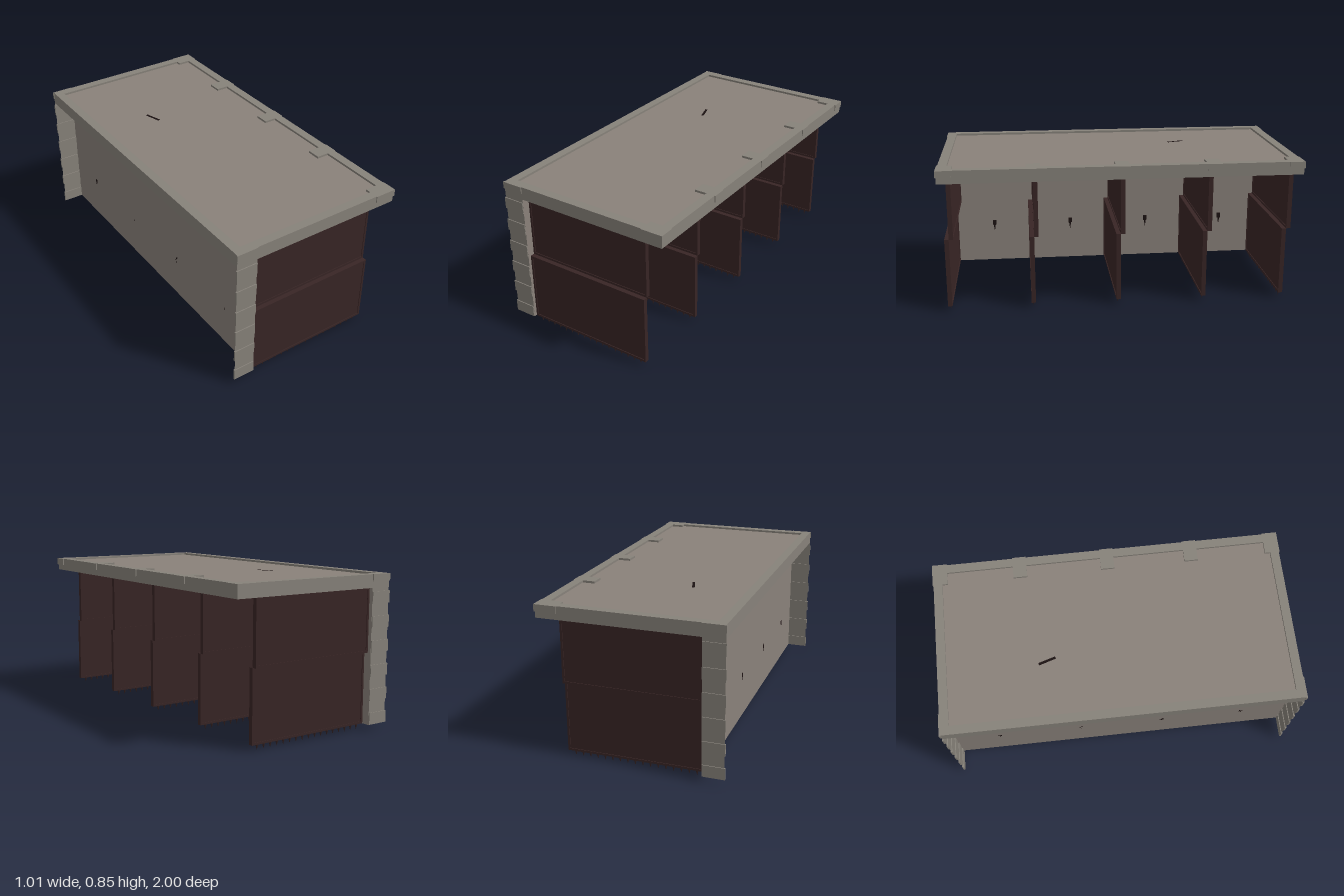
import * as THREE from 'three';

export function createModel() {
  const model = new THREE.Group();
  const mat = (name, color, side = THREE.FrontSide) => {
    const m = new THREE.MeshStandardMaterial({ color, side });
    m.name = name;
    return m;
  };
  const stone = mat('warm stone', 0x8a817a);
  const trim = mat('grey stone trim', 0x87827a);
  const wallMat = mat('wall stone', 0x8a817a, THREE.DoubleSide);
  const wingMat = mat('end stone', 0x87827a, THREE.DoubleSide);
  const wood = mat('dark wood', 0x382525);
  const black = mat('dark iron', 0x1c1212);

  const add = (parent, name, geo, material, x = 0, y = 0, z = 0) => {
    const mesh = new THREE.Mesh(geo, material);
    mesh.name = name;
    mesh.position.set(x, y, z);
    parent.add(mesh);
    return mesh;
  };
  const box = (w, h, d) => new THREE.BoxGeometry(w, h, d);

  // rectangular frame, extruded along z and centred
  const frame = (w, h, border, depth) => {
    const rect = (T, a, b) => {
      const s = new T();
      s.moveTo(-a, -b); s.lineTo(a, -b); s.lineTo(a, b); s.lineTo(-a, b); s.closePath();
      return s;
    };
    const shape = rect(THREE.Shape, w / 2, h / 2);
    shape.holes.push(rect(THREE.Path, w / 2 - border, h / 2 - border));
    return new THREE.ExtrudeGeometry(shape, { depth, bevelEnabled: false }).translate(0, 0, -depth / 2);
  };

  // roof: raised rim around a slightly sunken slab
  const roof = new THREE.Group();
  roof.name = 'roof';
  model.add(roof);
  add(roof, 'roofRim', frame(1.005, 1.99, 0.05, 0.073).rotateX(-Math.PI / 2), trim, -0.0025, 0.8115, 0);
  add(roof, 'roofSlab', box(0.905, 0.061, 1.89), stone, -0.0025, 0.8055, 0);

  // long wall sheet, open behind, with a wing closing each end
  add(model, 'longWall', new THREE.PlaneGeometry(1.99, 0.747).rotateY(Math.PI / 2), wallMat, -0.385, 0.4015, 0);
  for (const s of [-1, 1]) {
    const end = new THREE.Group();
    end.name = s > 0 ? 'frontEnd' : 'backEnd';
    model.add(end);
    const wing = new THREE.PlaneGeometry(0.12, 0.747);
    if (s < 0) wing.rotateY(Math.PI);
    add(end, 'wing', wing, wingMat, -0.445, 0.4015, s * 0.995);
    for (let i = 0; i < 6; i++) add(end, 'brick', box(0.123, 0.065, 0.01), trim, -0.4475, 0.0625 + i * 0.132, s * 0.995);
    add(end, 'roofBrick', box(0.123, 0.039, 0.01), trim, -0.4475, 0.8285, s * 0.995);
    add(end, 'cornerBrick', box(0.125, 0.039, 0.085), trim, 0.4425, 0.8285, s * 0.9575);
  }

  // small bricks along the open roof edge
  for (const z of [0.485, 0.002, -0.5]) add(roof, 'edgeBrick', box(0.125, 0.039, 0.078), trim, 0.4425, 0.8285, z);

  // framed hanging boards, upper and lower ones offset
  const board = (parent, name, h, y, z) => {
    add(parent, name + 'Frame', frame(0.755, h, 0.012, 0.025), wood, -0.0025, y, z);
    add(parent, name + 'Panel', box(0.733, h - 0.022, 0.017), wood, -0.0025, y, z);
  };
  const spike = new THREE.ConeGeometry(0.009, 0.032, 6).rotateX(Math.PI);
  const rows = [[0.945, 0.97], [0.475, 0.5], [-0.011, 0.014], [-0.507, -0.482], [-0.966, -0.941]];
  for (const [zUpper, zLower] of rows) {
    const divider = new THREE.Group();
    divider.name = 'divider';
    model.add(divider);
    board(divider, 'upperBoard', 0.35, 0.6, zUpper);
    board(divider, 'lowerBoard', 0.395, 0.2275, zLower);
    for (let i = 0; i < 17; i++) add(divider, 'spike', spike, wood, -0.345 + i * 0.0425, 0.016, zLower);
  }

  // little pegs between the dividers
  for (const z of [0.73, 0.245, -0.245, -0.735]) {
    add(model, 'pegHead', box(0.008, 0.03, 0.022), black, -0.381, 0.28, z);
    add(model, 'pegTip', new THREE.ConeGeometry(0.007, 0.045, 4).rotateX(Math.PI), black, -0.381, 0.245, z);
  }
  // thin scratch on the roof
  add(model, 'roofScratch', box(0.014, 0.002, 0.1), black, -0.14, 0.836, -0.39).rotation.y = 0.3;

  return model;
}
